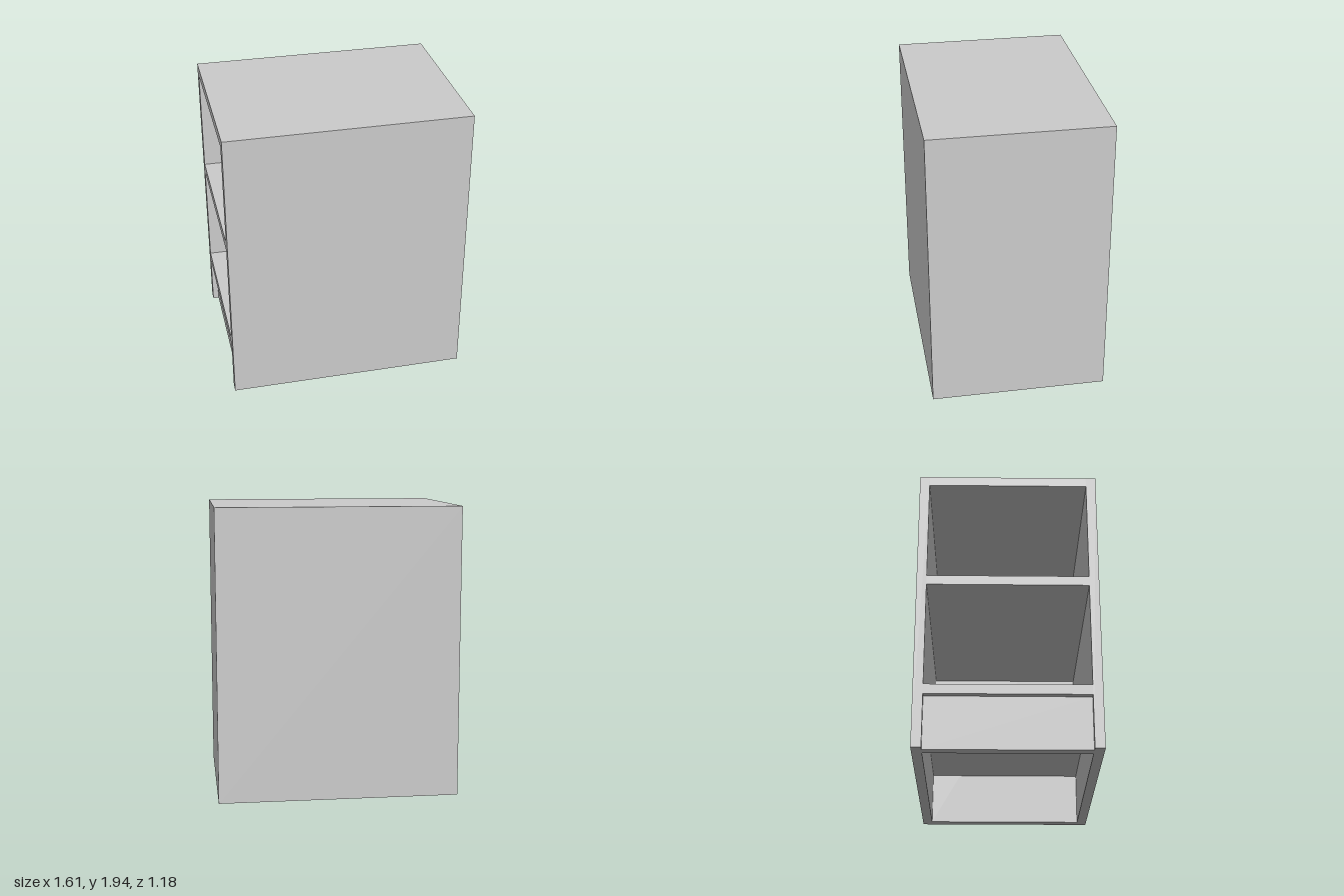
import * as THREE from 'three';

// Outer limits of the cabinet and board thickness
const X0 = -0.806, X1 = 0.8, H = 1.94, Z0 = -0.592, Z1 = 0.59, T = 0.065;

export function createModel() {
  const group = new THREE.Group();
  const material = new THREE.MeshStandardMaterial({ color: 0xcccccc });

  // A flat board given by its limits along each axis
  function board(name, [xa, xb], [ya, yb], [za, zb]) {
    const mesh = new THREE.Mesh(new THREE.BoxGeometry(xb - xa, yb - ya, zb - za), material);
    mesh.position.set((xa + xb) / 2, (ya + yb) / 2, (za + zb) / 2);
    mesh.name = name;
    group.add(mesh);
  }

  const insideZ = [Z0 + T, Z1 - T];

  // Large panels; the -x side stays open
  board('frontPanel', [X0, X1], [0, H], [Z1 - T, Z1]);
  board('backPanel', [X0, X1], [0, H], [Z0, Z0 + T]);
  board('leftPanel', [X1 - T, X1], [0, H - T], insideZ);
  board('topPanel', [X0, X1], [H - T, H], insideZ);

  // Shelves, flush with the open side
  [['lowerShelf', 0.352], ['upperShelf', 1.118]].forEach(([name, y]) =>
    board(name, [X0, X1 - T], [y, y + T], insideZ));

  // Recessed plinth below the lower shelf
  board('kickBoard', [X0 + 0.04, X0 + 0.04 + T], [0, 0.352], insideZ);

  return group;
}
